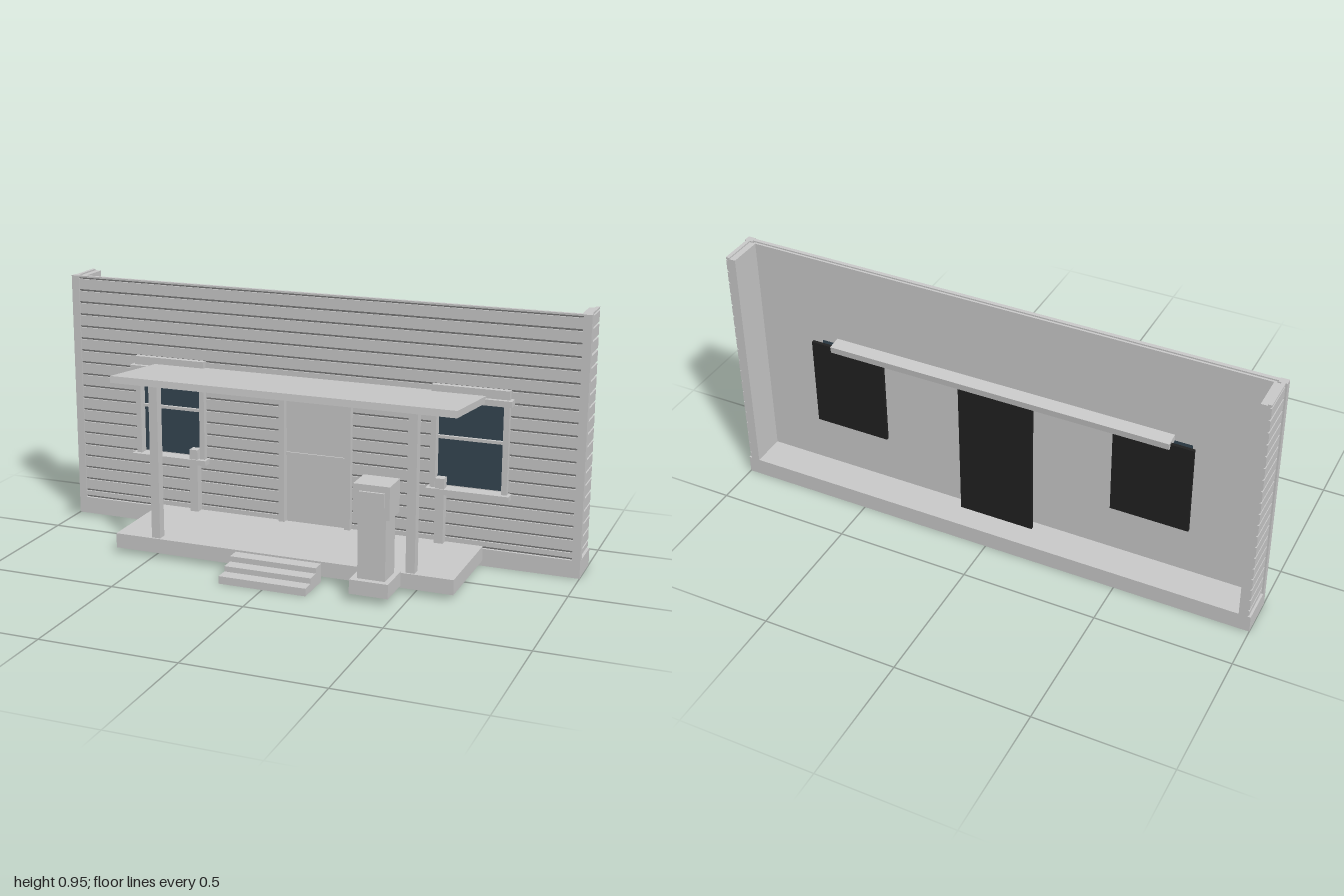
import * as THREE from 'three';

const mat = (name, color) => Object.assign(new THREE.MeshStandardMaterial({ color }), { name });

export function createModel() {
  const paint = mat('grey paint', 0xcccccc);
  const glass = mat('window glass', 0x364753);
  const dark = mat('dark backing', 0x222222);
  const model = new THREE.Group();
  model.name = 'storefront';

  const group = (name) => {
    const g = new THREE.Group();
    g.name = name;
    model.add(g);
    return g;
  };
  // box given by its limits on each axis
  const box = (parent, name, [x0, x1], [y0, y1], [z0, z1], material = paint) => {
    const m = new THREE.Mesh(new THREE.BoxGeometry(x1 - x0, y1 - y0, z1 - z0), material);
    m.position.set((x0 + x1) / 2, (y0 + y1) / 2, (z0 + z1) / 2);
    m.name = name;
    parent.add(m);
    return m;
  };
  // the same limits mirrored to the other side
  const side = (s, a, b) => (s > 0 ? [a, b] : [-b, -a]);

  // foundation
  box(model, 'foundation', [-1, 1], [0, 0.065], [-0.333, -0.18]);

  // openings: x0, x1, y0, y1
  const openings = [
    [-0.71, -0.465, 0.285, 0.61],
    [-0.12, 0.12, 0.075, 0.6],
    [0.465, 0.71, 0.285, 0.61],
  ];

  // front wall sheet with holes
  const wallShape = new THREE.Shape([[-0.965, 0.065], [0.965, 0.065], [0.965, 0.945], [-0.965, 0.945]]
    .map(([x, y]) => new THREE.Vector2(x, y)));
  for (const [x0, x1, y0, y1] of openings) {
    wallShape.holes.push(new THREE.Path([[x0, y0], [x0, y1], [x1, y1], [x1, y0]]
      .map(([x, y]) => new THREE.Vector2(x, y))));
  }
  const wall = new THREE.Mesh(
    new THREE.ExtrudeGeometry(wallShape, { depth: 0.008, bevelEnabled: false }), paint);
  wall.position.z = -0.206;
  wall.name = 'frontWall';
  model.add(wall);

  // clapboard with a bevelled lower lip
  const board = (parent, y0, y1, length, turn, x, z) => {
    const lip = Math.min(0.008, (y1 - y0) / 2);
    const s = new THREE.Shape([[0, y0], [0.007, y0], [0.014, y0 + lip], [0.014, y1], [0, y1]]
      .map((p) => new THREE.Vector2(...p)));
    const m = new THREE.Mesh(
      new THREE.ExtrudeGeometry(s, { depth: length, bevelEnabled: false }), paint);
    m.rotation.y = turn;
    m.position.set(x, 0, z);
    m.name = 'clapboard';
    parent.add(m);
  };
  const siding = group('siding');
  for (let k = -1; k < 19; k++) {
    const y0 = Math.max(0.065, 0.091 + 0.047 * k);
    const y1 = Math.min(0.95, 0.091 + 0.047 * (k + 1));
    // front boards, split around the openings
    let start = -0.97;
    for (const [a, b, c, d] of openings) {
      if (y1 <= c + 0.005 || y0 >= d - 0.005) continue;
      board(siding, y0, y1, a - start, -Math.PI / 2, a, -0.198);
      start = b;
    }
    board(siding, y0, y1, 0.97 - start, -Math.PI / 2, 0.97, -0.198);
    // side boards
    board(siding, y0, y1, 0.128, 0, 0.98, -0.333);
    board(siding, y0, y1, 0.128, Math.PI, -0.98, -0.205);
  }

  // side returns and corner boards
  for (const s of [1, -1]) {
    box(model, 'sideWall', side(s, 0.957, 0.98), [0.065, 0.945], [-0.333, -0.205]);
    box(model, 'cornerBoard', side(s, 0.97, 1), [0.065, 0.95], [-0.205, -0.18]);
  }

  // windows
  for (const s of [1, -1]) {
    const w = group(s > 0 ? 'leftWindow' : 'rightWindow');
    box(w, 'pane', side(s, 0.465, 0.71), [0.285, 0.61], [-0.203, -0.197], glass);
    box(w, 'backing', side(s, 0.44, 0.728), [0.275, 0.62], [-0.246, -0.234], dark);
    box(w, 'meetingRail', side(s, 0.465, 0.71), [0.46, 0.471], [-0.197, -0.185]);
    box(w, 'outerTrim', side(s, 0.71, 0.73), [0.26, 0.635], [-0.2, -0.162]);
    box(w, 'innerTrim', side(s, 0.445, 0.465), [0.26, 0.635], [-0.2, -0.162]);
    box(w, 'sill', side(s, 0.435, 0.742), [0.262, 0.282], [-0.2, -0.145]);
    box(w, 'head', side(s, 0.435, 0.742), [0.608, 0.63], [-0.2, -0.145]);
    box(w, 'headBoard', side(s, 0.445, 0.73), [0.63, 0.662], [-0.2, -0.162]);
  }

  // door
  const door = group('door');
  box(door, 'doorLeaf', [-0.12, 0.12], [0.075, 0.592], [-0.205, -0.19]);
  box(door, 'backing', [-0.142, 0.142], [0.066, 0.612], [-0.246, -0.234], dark);
  box(door, 'doorRail', [-0.12, 0.12], [0.332, 0.344], [-0.19, -0.184]);
  box(door, 'doorHead', [-0.15, 0.15], [0.6, 0.616], [-0.2, -0.155]);
  for (const s of [1, -1]) {
    box(door, 'doorTrim', side(s, 0.12, 0.142), [0.075, 0.6], [-0.2, -0.162]);
  }

  // porch deck, posts and sloping roof
  const porch = group('porch');
  box(porch, 'deck', [-0.645, 0.645], [0.02, 0.075], [-0.18, 0.185]);
  for (const s of [1, -1]) {
    box(porch, 'frontPost', side(s, 0.47, 0.503), [0.075, 0.65], [0.142, 0.177]);
    box(porch, 'wallPost', side(s, 0.47, 0.503), [0.075, 0.32], [-0.185, -0.15]);
  }
  const roof = box(porch, 'porchRoof', [-0.645, 0.645], [0.626, 0.651], [-0.257, 0.197]);
  roof.rotation.x = -0.1;

  // steps
  const steps = group('steps');
  for (let i = 0; i < 3; i++) {
    box(steps, 'step', [-0.165, 0.162], [i ? 0.028 + 0.02 * (i - 1) : 0, 0.028 + 0.02 * i],
      [0.185, 0.335 - 0.05 * i]);
  }

  // fuel pump
  const pump = group('pump');
  box(pump, 'pumpBase', [0.315, 0.455], [0.027, 0.079], [0.182, 0.32]);
  box(pump, 'pumpColumn', [0.337, 0.437], [0.079, 0.3], [0.2, 0.298]);
  box(pump, 'pumpHead', [0.321, 0.451], [0.3, 0.418], [0.196, 0.303]);
  box(pump, 'pumpDisplay', [0.343, 0.434], [0.345, 0.395], [0.303, 0.312]);

  return model;
}
